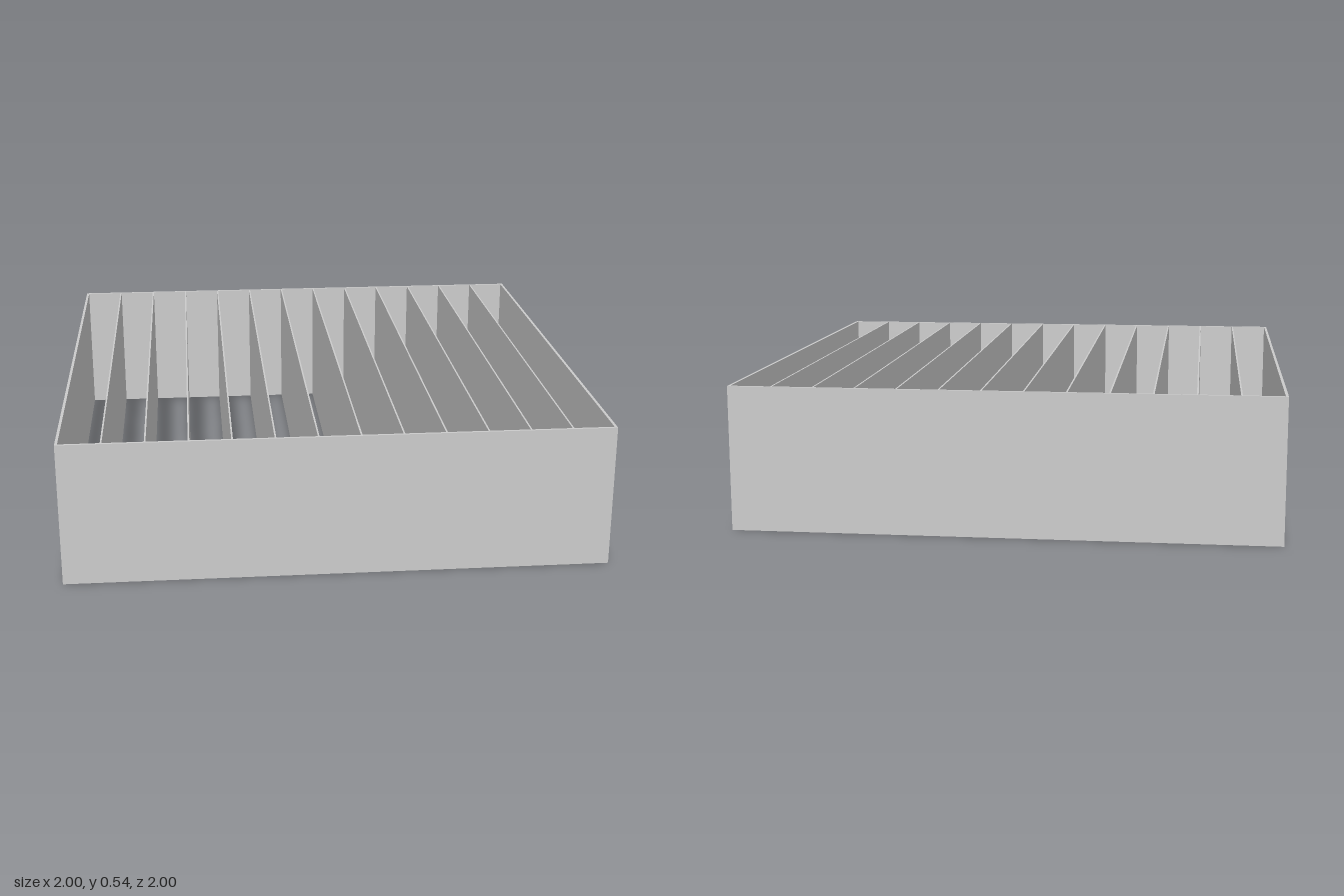
import * as THREE from 'three';

const SIZE = 2, HEIGHT = 0.535, WALL = 0.01;
const SLATS = 12, SLAT_THICKNESS = 0.006, PITCH = 0.1527;

export function createModel() {
  const model = new THREE.Group();
  model.name = 'louverGrille';
  const material = new THREE.MeshStandardMaterial({ color: 0xcccccc, flatShading: true });

  // Square frame, open at top and bottom
  const square = (half) => [[-half, -half], [half, -half], [half, half], [-half, half]]
    .map(([x, y]) => new THREE.Vector2(x, y));
  const outline = new THREE.Shape(square(SIZE / 2));
  outline.holes.push(new THREE.Path(square(SIZE / 2 - WALL).reverse()));
  const frameGeometry = new THREE.ExtrudeGeometry(outline, { depth: HEIGHT, bevelEnabled: false });
  frameGeometry.rotateX(-Math.PI / 2);
  const frame = new THREE.Mesh(frameGeometry, material);
  frame.name = 'frame';
  model.add(frame);

  // Evenly spaced upright slats running front to back
  const slats = new THREE.Group();
  slats.name = 'slats';
  const slatGeometry = new THREE.BoxGeometry(SLAT_THICKNESS, HEIGHT, SIZE - 2 * WALL);
  for (let i = 0; i < SLATS; i++) {
    const slat = new THREE.Mesh(slatGeometry, material);
    slat.name = `slat${i + 1}`;
    slat.position.set((i - (SLATS - 1) / 2) * PITCH, HEIGHT / 2, 0);
    slats.add(slat);
  }
  model.add(slats);

  return model;
}
